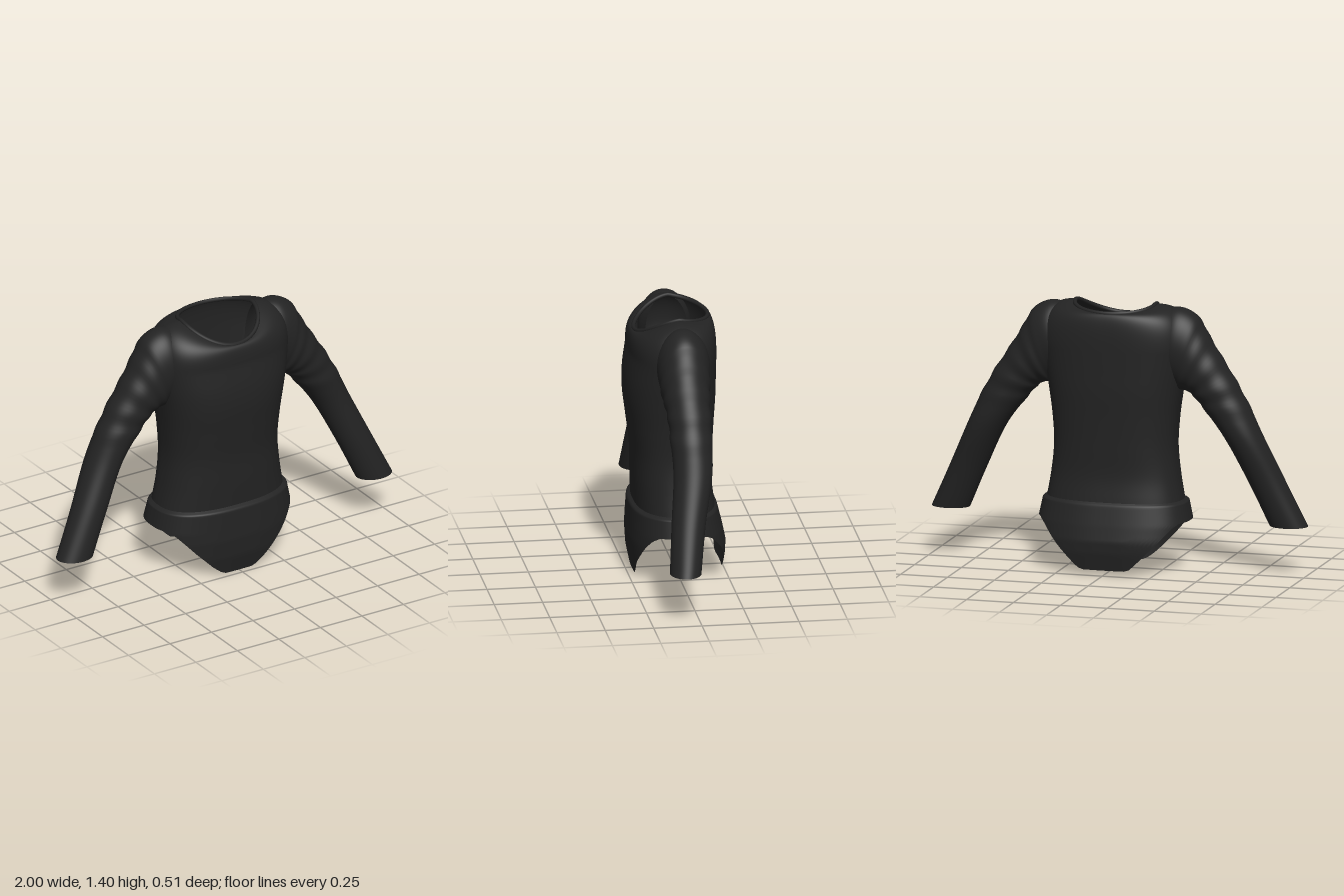
import * as THREE from 'three';

const SEG = 96;
const lerp = THREE.MathUtils.lerp;
const V = (x, y, z) => new THREE.Vector3(x, y, z);

// Closed rings joined into an open tube; rows run bottom to top.
function loft(rows, point) {
  const pos = [], index = [];
  for (let r = 0; r <= rows; r++) {
    for (let i = 0; i < SEG; i++) {
      const p = point(r / rows, (i / SEG) * Math.PI * 2);
      pos.push(p.x, p.y, p.z);
      if (r === rows) continue;
      const a = r * SEG + i, b = r * SEG + (i + 1) % SEG, c = a + SEG, d = b + SEG;
      index.push(a, c, b, b, c, d);
    }
  }
  const g = new THREE.BufferGeometry();
  g.setAttribute('position', new THREE.Float32BufferAttribute(pos, 3));
  g.setIndex(index);
  g.computeVertexNormals();
  return g;
}

// Rounded-square cross-section with separate front and back depth.
const soft = (v) => Math.sign(v) * Math.pow(Math.abs(v), 0.8);
const section = (t, y, halfWidth, front, back) =>
  V(soft(Math.cos(t)) * halfWidth, y, soft(Math.sin(t)) * (Math.sin(t) > 0 ? front : back));

// Piecewise linear lookup in [key, value] pairs.
function lookup(table, k) {
  if (k <= table[0][0]) return table[0][1];
  for (let i = 1; i < table.length; i++) {
    const [k0, v0] = table[i - 1], [k1, v1] = table[i];
    if (k <= k1) return lerp(v0, v1, (k - k0) / (k1 - k0));
  }
  return table[table.length - 1][1];
}

// Neckline: high at the shoulders, scooped in front, slightly dropped behind.
function neckPoint(t) {
  const s = Math.sin(t);
  return V(0.213 * Math.cos(t),
    s > 0 ? 1.39 - 0.1 * Math.pow(s, 1.5) : 1.39 + 0.03 * s,
    s * (s > 0 ? 0.205 : 0.172));
}

// Torso levels: y, half width, front depth, back depth.
const TORSO = [
  [0.372, 0.357, 0.213, 0.2], [0.5, 0.335, 0.218, 0.184], [0.65, 0.32, 0.222, 0.187],
  [0.8, 0.328, 0.24, 0.194], [0.95, 0.348, 0.258, 0.203], [1.05, 0.365, 0.257, 0.205],
  [1.18, 0.385, 0.238, 0.207],
];

function torsoGeometry() {
  const outline = new THREE.CatmullRomCurve3(TORSO.map(([y, w, f]) => V(w, y, f)));
  const rear = new THREE.CatmullRomCurve3(TORSO.map(([y, w, , b]) => V(w, y, b)));
  const body = 0.65;
  return loft(60, (v, t) => {
    const u = Math.min(v / body, 1);
    const o = outline.getPoint(u);
    const p = section(t, o.y, o.x, o.z, rear.getPoint(u).z);
    if (v <= body) return p;
    // Shoulders round over towards the neckline.
    const a = ((v - body) / (1 - body)) * Math.PI / 2;
    const n = neckPoint(t);
    const c = Math.pow(Math.max(Math.cos(a), 0), 0.75), s = Math.pow(Math.sin(a), 0.8);
    return V(lerp(n.x, p.x, c), lerp(p.y, n.y, s), lerp(n.z, p.z, c));
  });
}

// Sleeve sections, wrist to shoulder: inner x, y, outer x, y, z centre, z radius.
const SLEEVE = [
  [0.8, 0.257, 1.0, 0.257, 0.07, 0.08], [0.7, 0.48, 0.895, 0.48, 0.04, 0.087],
  [0.58, 0.72, 0.78, 0.73, 0, 0.1], [0.475, 0.86, 0.705, 0.89, -0.003, 0.106],
  [0.42, 0.922, 0.638, 1.01, -0.003, 0.11], [0.385, 0.948, 0.56, 1.13, 0, 0.117],
  [0.345, 0.955, 0.492, 1.24, 0, 0.126], [0.31, 0.98, 0.435, 1.335, 0, 0.133],
  [0.28, 1.0, 0.35, 1.378, 0, 0.135], [0.22, 1.0, 0.26, 1.37, 0, 0.11],
];

function sleeveGeometry(side) {
  const inner = new THREE.CatmullRomCurve3(SLEEVE.map((s) => V(s[0], s[1], s[4])));
  const outer = new THREE.CatmullRomCurve3(SLEEVE.map((s) => V(s[2], s[3], s[5])));
  return loft(54, (v, t) => {
    const a = inner.getPoint(v), b = outer.getPoint(v), k = (1 + Math.cos(t)) / 2;
    // Faint folds around the upper sleeve.
    const fold = v > 0.3 && v < 0.75 ? 0.003 * Math.sin((v - 0.3) / 0.45 * Math.PI * 8) : 0;
    return V(side * (lerp(a.x, b.x, k) + fold * Math.cos(t)),
      lerp(a.y, b.y, k), a.z + side * Math.sin(t) * (b.z + fold));
  });
}

// Brief outline by height, and its leg-opening edge by distance from the middle.
const WIDTH = [[0, 0.4], [0.26, 0.4], [0.365, 0.378], [0.378, 0.355]];
const FRONT = [[0, 0.215], [0.1, 0.236], [0.2, 0.243], [0.365, 0.234], [0.378, 0.212]];
const BACK = [[0.03, 0.235], [0.12, 0.252], [0.18, 0.255], [0.26, 0.238], [0.365, 0.212], [0.378, 0.198]];
const EDGE = [[0.085, 0.004], [0.12, 0.025], [0.16, 0.06], [0.25, 0.15], [0.34, 0.25], [0.37, 0.272]];

function briefGeometry() {
  return loft(32, (v, t) => {
    const x = Math.abs(soft(Math.cos(t))) * 0.4;
    const low = Math.max(lookup(EDGE, x), Math.sin(t) < 0 ? 0.03 : 0);
    // The top rows roll inward to meet the torso.
    const y = v < 0.9 ? lerp(low, 0.365, v / 0.9) : lerp(0.365, 0.378, (v - 0.9) / 0.1);
    return section(t, y, lookup(WIDTH, y), lookup(FRONT, y), lookup(BACK, y));
  });
}

export function createModel() {
  const group = new THREE.Group();
  const fabric = new THREE.MeshStandardMaterial({ color: 0x232323, side: THREE.DoubleSide });
  fabric.name = 'black fabric';

  const add = (name, geometry) => {
    const mesh = new THREE.Mesh(geometry, fabric);
    mesh.name = name;
    group.add(mesh);
  };

  add('torso', torsoGeometry());
  add('leftSleeve', sleeveGeometry(1));
  add('rightSleeve', sleeveGeometry(-1));
  add('brief', briefGeometry());

  // Rolled band around the neck opening
  const neck = Array.from({ length: 32 }, (_, i) => neckPoint((i / 32) * Math.PI * 2));
  add('neckBand', new THREE.TubeGeometry(new THREE.CatmullRomCurve3(neck, true), 96, 0.011, 8, true));

  return group;
}
